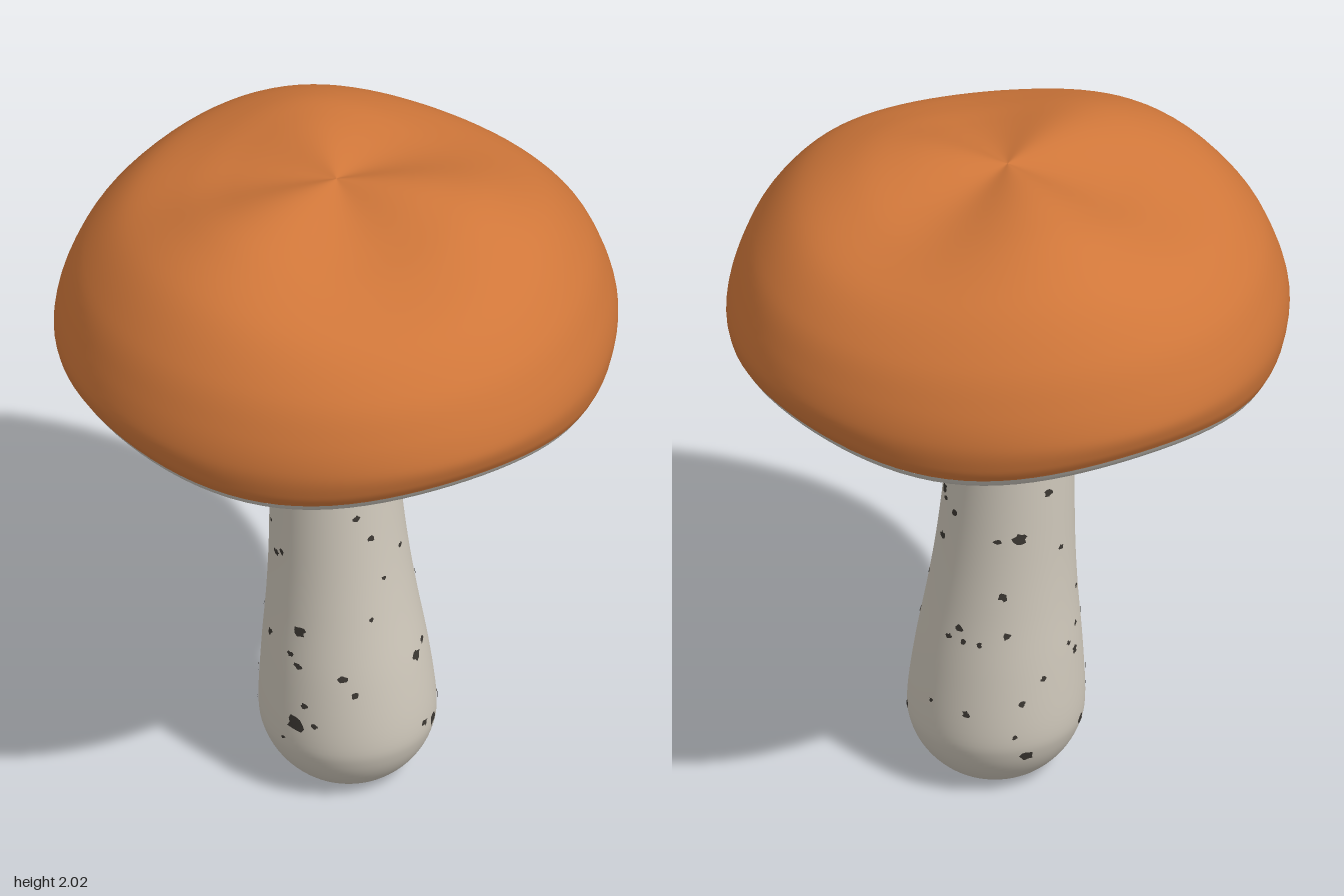
import * as THREE from 'three';
import { mergeGeometries } from 'three/addons/utils/BufferGeometryUtils.js';

const SEG = 96;
const rad = THREE.MathUtils.degToRad;
const smooth = THREE.MathUtils.smoothstep;

// Smooth curve through a few (radius, height) points
const profile = (pts, n) =>
  new THREE.SplineCurve(pts.map(([r, y]) => new THREE.Vector2(r, y))).getPoints(n);

function surface(pos, idx) {
  const g = new THREE.BufferGeometry();
  g.setAttribute('position', new THREE.Float32BufferAttribute(pos, 3));
  g.setIndex(idx);
  g.computeVertexNormals();
  return g;
}

// Sweep a profile round the axis; place(point, angle) gives each surface position
function loft(pts, place) {
  const pos = [], idx = [];
  pts.forEach((p, i) => {
    for (let j = 0; j < SEG; j++) {
      pos.push(...place(p, (j / SEG) * Math.PI * 2));
      if (i === pts.length - 1) continue;
      const a = i * SEG + j, c = i * SEG + ((j + 1) % SEG);
      idx.push(a, a + SEG, c, c, a + SEG, c + SEG);
    }
  });
  return surface(pos, idx);
}

// Uneven cap outline and the wavy height of its lip
const capRadius = (a) =>
  0.798 + 0.007 * Math.cos(4 * (a - rad(30))) + 0.01 * Math.cos(a - rad(65));
const lipWave = (a) => 0.012 + 0.025 * Math.cos(4 * (a - rad(30)));

// Cap surface with three soft lobes on the dome
function capPoint(p, a) {
  const r = Math.max(p.x, 0.0005) * capRadius(a);
  const lobes = 0.035 * Math.cos(3 * (a - rad(105))) * Math.sin(Math.PI * Math.min(p.x, 1));
  const y = p.y + lobes * smooth(p.y, 1.45, 1.7) + lipWave(a) * (1 - smooth(p.y, 1.42, 1.6));
  return [r * Math.cos(a), y, r * Math.sin(a)];
}

// Underside with faint rings, following the wavy lip at its edge
function gillPoint(p, a) {
  const r = p.x * capRadius(a);
  const ripple = 0.003 * Math.sin(p.x * 62) * (1 - smooth(p.x, 0.75, 0.9));
  const y = p.y + ripple + lipWave(a) * smooth(p.x, 0.72, 0.965);
  return [r * Math.cos(a), y, r * Math.sin(a)];
}

// Stem profile, and its slight lean towards the swollen foot
const STEM = profile([[0.0005, 0.012], [0.09, 0], [0.145, 0.015], [0.203, 0.07], [0.24, 0.14],
  [0.251, 0.22], [0.236, 0.4], [0.211, 0.6], [0.193, 0.8], [0.174, 1.15],
  [0.17, 1.26], [0.182, 1.31], [0.215, 1.342]], 64);
const leanX = (y) => 0.045 - 0.055 * smooth(y, 0, 1.3);
const stemPoint = (p, a) => [leanX(p.y) + p.x * Math.cos(a), p.y, 0.008 + p.x * Math.sin(a)];
function stemRadius(y) {
  const i = STEM.findIndex((p, k) => k > 5 && p.y >= y);
  const a = STEM[i - 1], b = STEM[i];
  return THREE.MathUtils.mapLinear(y, a.y, b.y, a.x, b.x);
}

let seed = 7;
const rand = () => (seed = (seed * 16807) % 2147483647) / 2147483647;

// One ragged patch lying just above the stem surface
function speck(angle, y, size) {
  const n = 11, pos = [], idx = [];
  const put = (da, dy) => {
    const h = y + dy, r = stemRadius(h) + 0.003;
    pos.push(...stemPoint({ x: r, y: h }, angle + da / r));
  };
  put(0, 0);
  for (let k = 0; k < n; k++) {
    const t = (k / n) * Math.PI * 2, s = size * (0.55 + 0.7 * rand());
    put(s * Math.cos(t), s * 0.85 * Math.sin(t));
    idx.push(0, 1 + ((k + 1) % n), 1 + k);
  }
  return surface(pos, idx);
}

// The larger specks: angle from +x towards +z, height, size
const LARGE_SPECKS = [[90, 1.08, 0.03], [92, 0.565, 0.02], [95, 0.265, 0.028],
  [0, 0.44, 0.021], [-44, 0.945, 0.018], [-12, 0.2, 0.023], [170, 1.06, 0.02],
  [172, 0.18, 0.021], [231, 0.86, 0.021], [220, 0.15, 0.023], [324, 1.03, 0.018],
  [309, 0.8, 0.016]];
const SMALL_SPECKS = 56;

export function createModel() {
  const group = new THREE.Group();
  const material = (name, color, side = THREE.FrontSide) =>
    Object.assign(new THREE.MeshStandardMaterial({ color, side }), { name });
  const add = (name, geometry, mat) => {
    const mesh = new THREE.Mesh(geometry, mat);
    mesh.name = name;
    group.add(mesh);
  };

  // Rounded cap, from the lip up to the crown
  add('cap', loft(profile([[0.965, 1.425], [0.988, 1.465], [1, 1.54], [0.97, 1.64], [0.9, 1.755],
    [0.76, 1.872], [0.56, 1.945], [0.38, 1.978], [0.2, 1.995], [0, 2]], 60), capPoint),
  material('capOrange', 0xd0773a));

  // Underside, from the stem out to the rolled lip
  add('underside', loft(profile([[0.18, 1.334], [0.4, 1.336], [0.62, 1.345], [0.8, 1.36],
    [0.89, 1.378], [0.94, 1.398], [0.965, 1.425]], 110), gillPoint),
  material('undersideGrey', 0xc8c3ba));

  // Stem with a swollen foot and flared top
  add('stem', loft(STEM, stemPoint), material('stemCream', 0xcec7ba));

  // Specks: the larger ones, then small ones spread evenly round the stem
  const patches = LARGE_SPECKS.map(([deg, y, size]) => speck(rad(deg), y, size));
  for (let i = 0; i < SMALL_SPECKS; i++) {
    patches.push(speck(i * 2.4, 0.16 + 1.12 * rand(), 0.008 + 0.007 * rand()));
  }
  add('stemSpecks', mergeGeometries(patches), material('speckDark', 0x3c3833, THREE.DoubleSide));

  return group;
}
